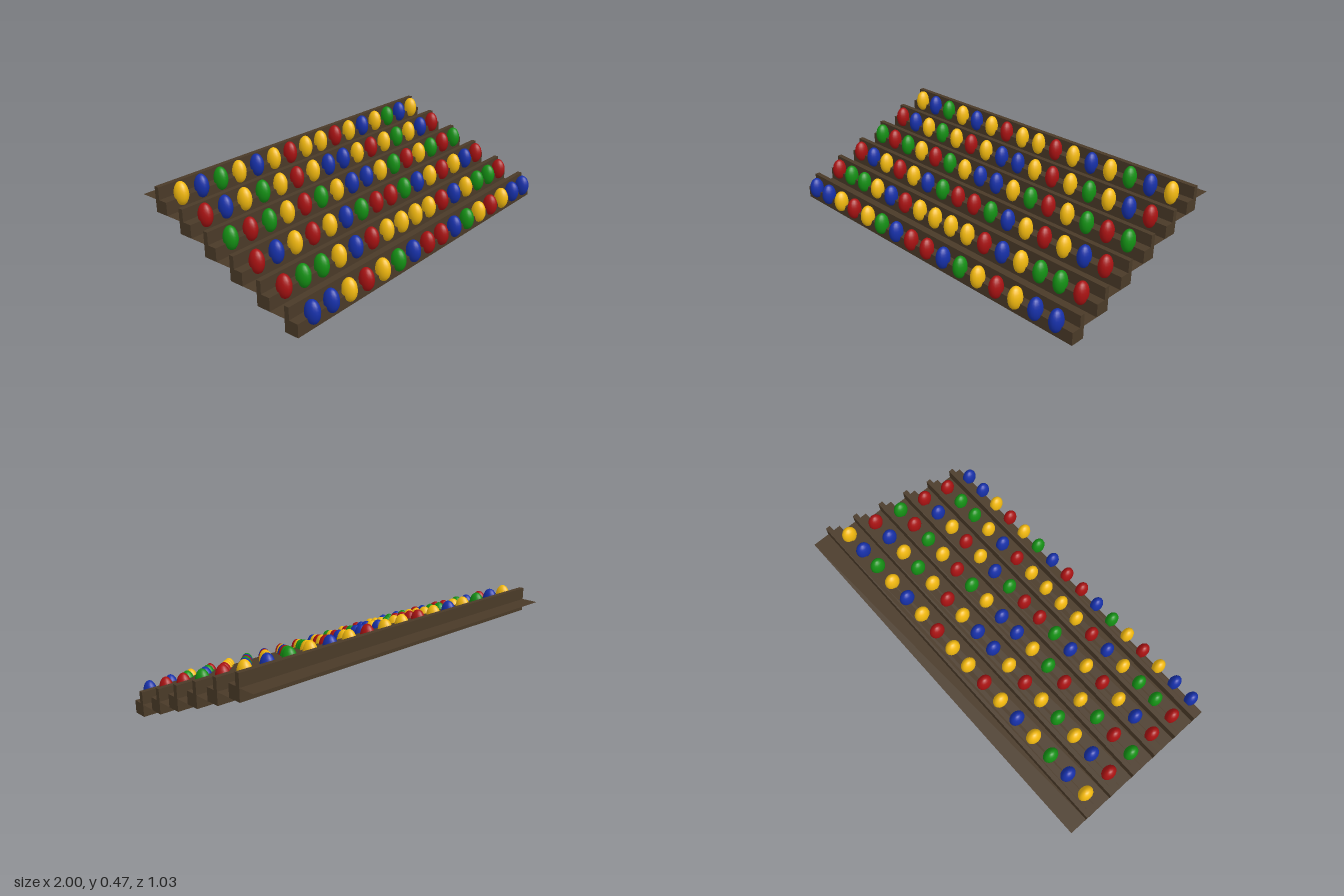
import * as THREE from 'three';

const ROWS = 6, STEP_Z = 0.164, STEP_Y = 0.0652, LENGTH = 2;
// Left half of each row, front to back; the other half mirrors it.
const PATTERN = ['BBYRYGBR', 'RGGYBRYY', 'RBYRYBGR', 'GRGYRGYB', 'RBYGYRYB', 'YBGYBYRY'];
const COLORS = { R: 0xa81212, G: 0x149014, B: 0x1630a8, Y: 0xf2b90f };

export function createModel() {
  const model = new THREE.Group();
  model.name = 'steppedRack';

  const wood = new THREE.MeshStandardMaterial({ color: 0x4a3a28 });
  const thinWood = new THREE.MeshStandardMaterial({ color: 0x4a3a28, side: THREE.DoubleSide });
  const paint = {};
  for (const key in COLORS) paint[key] = new THREE.MeshStandardMaterial({ color: COLORS[key] });

  // L-shaped rail: shape x runs backwards (-z), shape y is up
  const profile = new THREE.Shape([
    [0, 0], [0.076, 0], [0.076, 0.13], [0.05, 0.13], [0.05, 0.067], [0, 0.067],
  ].map(([x, y]) => new THREE.Vector2(x, y)));
  const railGeo = new THREE.ExtrudeGeometry(profile, { depth: LENGTH, bevelEnabled: false });
  railGeo.rotateY(Math.PI / 2).translate(-LENGTH / 2, 0, 0);

  // Thin tread joining a rail to the one behind
  const treadGeo = new THREE.PlaneGeometry(LENGTH, 0.095);
  treadGeo.rotateX(-Math.PI / 2).translate(0, 0.0655, -0.1225);

  const eggGeo = new THREE.SphereGeometry(1, 16, 12).scale(0.032, 0.06, 0.041);

  for (let r = 0; r < ROWS; r++) {
    const row = new THREE.Group();
    row.name = 'row' + (r + 1);
    row.position.set(0, r * STEP_Y, 0.47 - r * STEP_Z);

    const rail = new THREE.Mesh(railGeo, wood);
    rail.name = 'rail';
    const tread = new THREE.Mesh(treadGeo, thinWood);
    tread.name = 'tread';
    row.add(rail, tread);

    // Sixteen coloured eggs along the ledge
    for (let i = 0; i < 16; i++) {
      const key = PATTERN[r][i < 8 ? i : 15 - i];
      const egg = new THREE.Mesh(eggGeo, paint[key]);
      egg.name = 'egg';
      egg.position.set((i - 7.5) * 0.1215, 0.088, 0.003);
      row.add(egg);
    }
    model.add(row);
  }
  return model;
}
